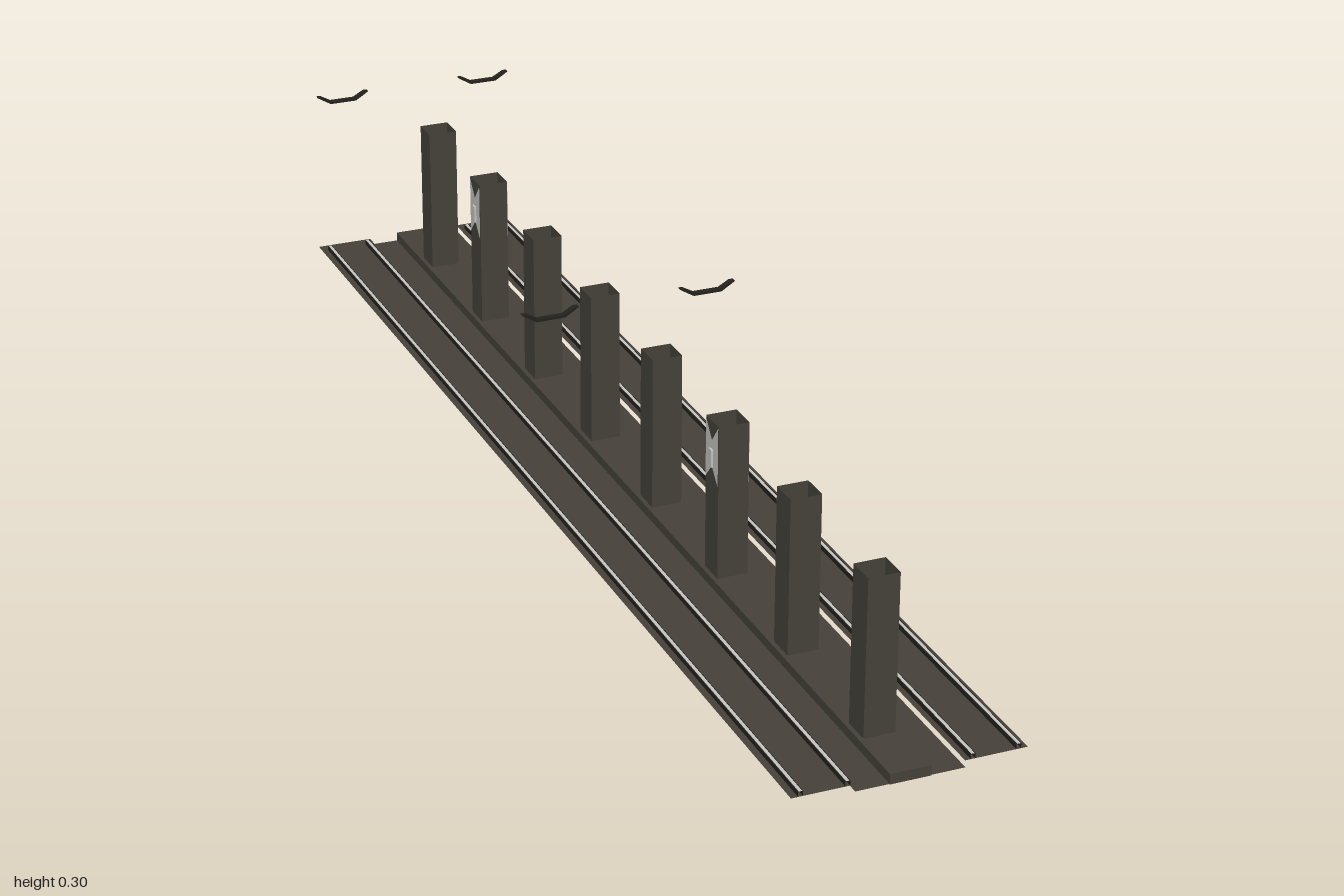
import * as THREE from 'three';

export function createModel() {
  const model = new THREE.Group();
  const mat = (name, color) => {
    const m = new THREE.MeshStandardMaterial({ color, side: THREE.DoubleSide, flatShading: true });
    m.name = name;
    return m;
  };
  const stone = mat('dark stone', 0x46423a);
  const black = mat('black iron', 0x25221d);
  const pale = mat('pale grey', 0xc6c6c2);

  const add = (parent, name, geo, material, x = 0, y = 0, z = 0) => {
    const m = new THREE.Mesh(geo, material);
    m.name = name;
    m.position.set(x, y, z);
    parent.add(m);
    return m;
  };
  const strip = (name, width, length, material, x, y, z = 0) =>
    add(model, name, new THREE.PlaneGeometry(width, length).rotateX(-Math.PI / 2), material, x, y, z);

  // Central floor and the plinth under the pillars
  strip('centreFloor', 0.164, 2, stone, 0, 0.001);
  add(model, 'plinth', new THREE.BoxGeometry(0.062, 0.016, 2), stone, 0, 0.008, 0);

  // Side track beds, each with two pale-topped rails
  for (const s of [-1, 1]) {
    strip('trackBed', 0.095, 2, stone, s * 0.1285, 0.012);
    for (const x of [0.093, 0.162]) {
      strip('railTop', 0.005, 1.98, pale, s * x, 0.02, 0.01);
      for (const e of [-1, 1]) {
        add(model, 'railSide', new THREE.PlaneGeometry(1.98, 0.008).rotateY(Math.PI / 2),
          black, s * x + e * 0.0035, 0.016, 0.01);
      }
    }
  }

  // Hollow square pillars, open at the top
  const pillarGeo = new THREE.CylinderGeometry(Math.SQRT1_2, Math.SQRT1_2, 1, 4, 1, true)
    .rotateY(Math.PI / 4).scale(0.048, 0.246, 0.046);

  // Notched sign plate, lying in the side face of a pillar
  const signShape = new THREE.Shape([
    [-0.022, 0.26], [0, 0.232], [0.022, 0.26], [0.022, 0.165], [0, 0.19], [-0.022, 0.165],
  ].map(([a, b]) => new THREE.Vector2(a, b)));
  const signGeo = new THREE.ShapeGeometry(signShape).rotateY(Math.PI / 2);

  for (let i = 0; i < 8; i++) {
    const pillar = new THREE.Group();
    pillar.name = 'pillar' + (i + 1);
    pillar.position.z = 0.88 - i * 0.2476;
    add(pillar, 'shaft', pillarGeo, stone, 0, 0.139, 0);
    if (i === 2 || i === 6) {
      for (const s of [-1, 1]) {
        add(pillar, 'sign', signGeo, pale, s * 0.0247);
        add(pillar, 'signBoss', new THREE.BoxGeometry(0.004, 0.028, 0.01), pale, s * 0.026, 0.204, 0);
      }
    }
    model.add(pillar);
  }

  // Bent hanger bars floating above each track
  const barShape = new THREE.Shape([
    [-0.046, 0.299], [-0.023, 0.285], [0.023, 0.285], [0.046, 0.299],
    [0.039, 0.299], [0.021, 0.289], [-0.021, 0.289], [-0.039, 0.299],
  ].map(([a, b]) => new THREE.Vector2(a, b)));
  const barGeo = new THREE.ExtrudeGeometry(barShape, { depth: 0.01, bevelEnabled: false });
  for (const s of [-1, 1]) {
    for (const z of [0.003, -0.988]) add(model, 'hangerBar', barGeo, black, s * 0.129, 0, z);
  }
  return model;
}
